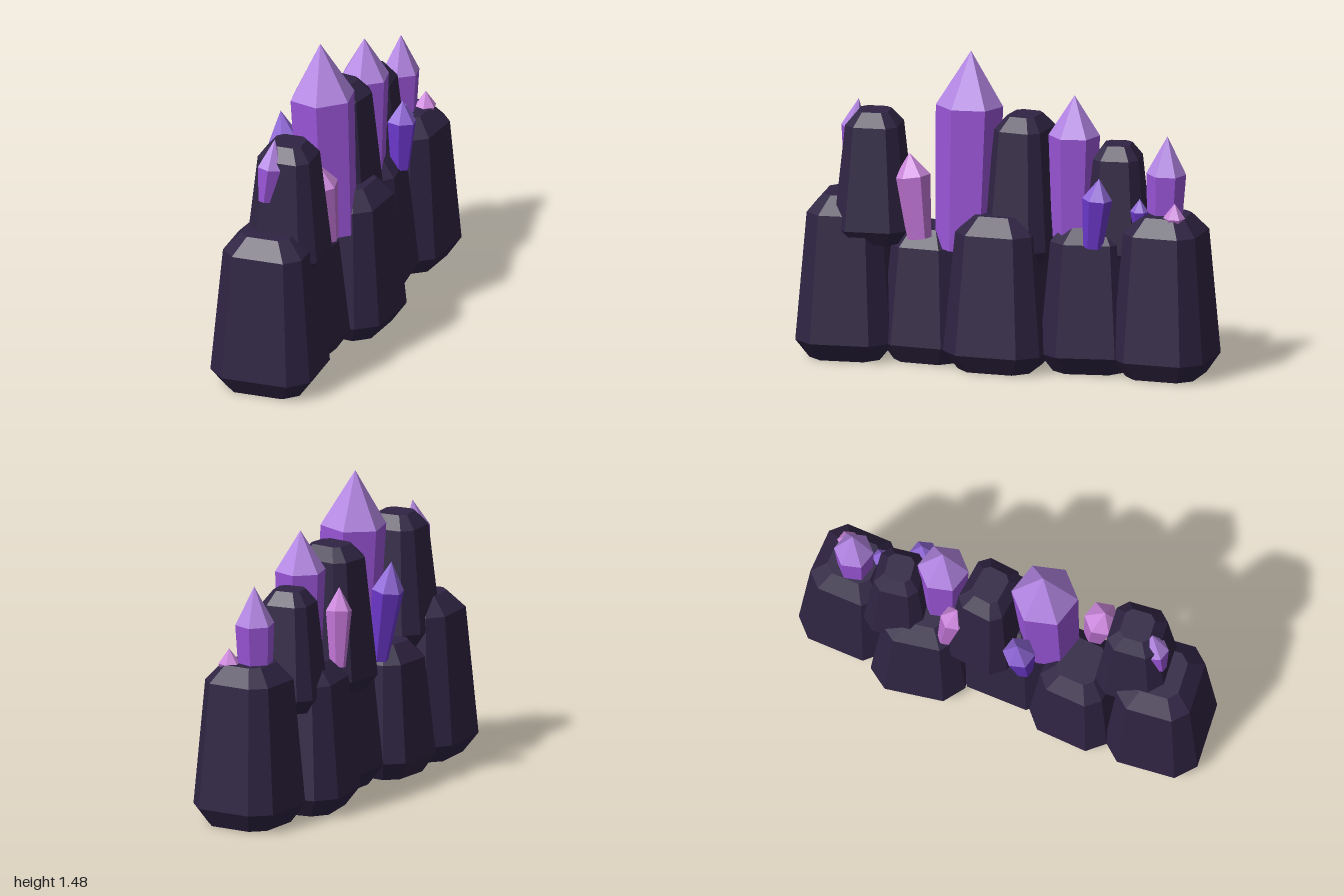
import * as THREE from 'three';

const mat = (name, color) => {
  const m = new THREE.MeshStandardMaterial({ color, flatShading: true });
  m.name = name;
  return m;
};

// Closed solid lofted through rings of equal point count, listed bottom to top,
// each ring running counter-clockwise seen from above
function loft(rings) {
  const n = rings[0].length, pos = [], idx = [];
  rings.forEach(r => r.forEach(p => pos.push(...p)));
  for (let k = 0; k < rings.length - 1; k++) {
    for (let i = 0; i < n; i++) {
      const a = k * n + i, b = k * n + (i + 1) % n;
      idx.push(a, b, a + n, b, b + n, a + n);
    }
  }
  const top = (rings.length - 1) * n;
  for (let i = 1; i < n - 1; i++) {
    idx.push(0, i + 1, i);
    idx.push(top, top + i, top + i + 1);
  }
  const g = new THREE.BufferGeometry();
  g.setAttribute('position', new THREE.Float32BufferAttribute(pos, 3));
  g.setIndex(idx);
  const flat = g.toNonIndexed();
  flat.computeVertexNormals();
  return flat;
}

// Rectangle with cut corners, at height y
function octagon(w, d, cut, y, s) {
  const a = w - cut, b = d - cut;
  return [[w, b], [w, -b], [a, -d], [-a, -d], [-w, -b], [-w, b], [-a, d], [a, d]]
    .map(([x, z]) => [x * s, y, z * s]);
}

export function createModel() {
  const group = new THREE.Group();
  const rock = mat('dark rock', 0x2f2443);
  const colours = {
    purple: [mat('purple crystal', 0x9a55d8), mat('light purple tip', 0xb486e4)],
    violet: [mat('violet crystal', 0x6c38cc), mat('light violet tip', 0x9068d8)],
    pink: [mat('pink crystal', 0xc074d4), mat('light pink tip', 0xcc88dc)],
  };

  // Tapered, bevelled boulder
  function addRock(name, [x, y, z], [w, h, d], turn, shoulder, crown, bevel) {
    const cut = Math.min(w, d) * 0.38;
    const rings = [[0, 0.74], [bevel, 1], [h - bevel * 0.9, shoulder], [h, crown]]
      .map(([ry, s]) => octagon(w, d, cut, ry, s));
    const mesh = new THREE.Mesh(loft(rings), rock);
    mesh.name = name;
    mesh.position.set(x, y, z);
    mesh.rotation.y = turn;
    group.add(mesh);
  }

  // Row of base rocks
  [
    [[-0.025, 0, 0.765], [0.245, 0.775, 0.225], 0.05],
    [[-0.05, 0, 0.38], [0.215, 0.63, 0.2], -0.1],
    [[0.06, 0, 0.02], [0.23, 0.735, 0.235], -0.06],
    [[-0.045, 0, -0.39], [0.24, 0.7, 0.225], 0.12],
    [[0.025, 0, -0.765], [0.22, 0.765, 0.222], -0.07],
  ].forEach(([p, s, t], i) => addRock('baseRock' + (i + 1), p, s, t, 0.79, 0.48, 0.09));

  // Upper rock spires
  [
    [[0.015, 0.56, 0.635], [0.175, 0.62, 0.172], 0.05],
    [[-0.03, 0.5, -0.075], [0.195, 0.69, 0.16], -0.15],
    [[-0.05, 0.5, -0.515], [0.155, 0.57, 0.148], 0.1],
  ].forEach(([p, s, t], i) => addRock('rockSpire' + (i + 1), p, s, t, 0.72, 0.42, 0.07));

  // Six-sided crystal running from a base point to its tip
  function addCrystal(name, colour, base, tip, r, tipLength, taper) {
    const from = new THREE.Vector3(...base), to = new THREE.Vector3(...tip);
    const axis = to.clone().sub(from);
    const bodyLength = axis.length() - tipLength;
    const [bodyMat, tipMat] = colours[colour];
    const body = new THREE.Mesh(
      new THREE.CylinderGeometry(r, r * taper, bodyLength, 6), bodyMat);
    body.position.y = bodyLength / 2;
    body.name = 'crystalBody';
    const point = new THREE.Mesh(new THREE.ConeGeometry(r, tipLength, 6, 1, true), tipMat);
    point.position.y = bodyLength + tipLength / 2;
    point.name = 'crystalTip';
    const crystal = new THREE.Group();
    crystal.name = name;
    crystal.add(body, point);
    crystal.position.copy(from);
    crystal.quaternion.setFromUnitVectors(new THREE.Vector3(0, 1, 0), axis.normalize());
    crystal.rotateY(0.2);
    group.add(crystal);
  }

  addCrystal('tallCrystal', 'purple', [0.03, 0.55, 0.195], [-0.015, 1.48, 0.18], 0.157, 0.26, 0.9);
  addCrystal('middleCrystal', 'purple', [0.005, 0.6, -0.315], [0, 1.3, -0.32], 0.12, 0.19, 0.82);
  addCrystal('rearCrystal', 'purple', [0, 0.68, -0.75], [0, 1.13, -0.765], 0.093, 0.18, 0.85);
  addCrystal('frontPinkCrystal', 'pink', [0.11, 0.6, 0.395], [0.085, 1.0, 0.45], 0.085, 0.11, 0.65);
  addCrystal('innerPinkCrystal', 'pink', [-0.16, 0.65, -0.25], [-0.14, 1.02, -0.2], 0.062, 0.11, 0.6);
  addCrystal('leftVioletCrystal', 'violet', [0.13, 0.61, -0.44], [0.13, 0.94, -0.47], 0.07, 0.1, 0.65);
  addCrystal('rightVioletCrystal', 'violet', [-0.165, 0.6, 0.14], [-0.235, 1.08, 0.13], 0.077, 0.14, 0.55);
  addCrystal('spireCrystal', 'purple', [-0.05, 0.92, 0.77], [-0.02, 1.22, 0.72], 0.062, 0.14, 0.5);
  addCrystal('smallPinkCrystal', 'pink', [0.1, 0.7, -0.82], [0.1, 0.835, -0.825], 0.052, 0.07, 0.5);
  addCrystal('smallVioletCrystal', 'violet', [0.07, 0.7, -0.645], [0.07, 0.84, -0.65], 0.043, 0.06, 0.6);

  return group;
}
